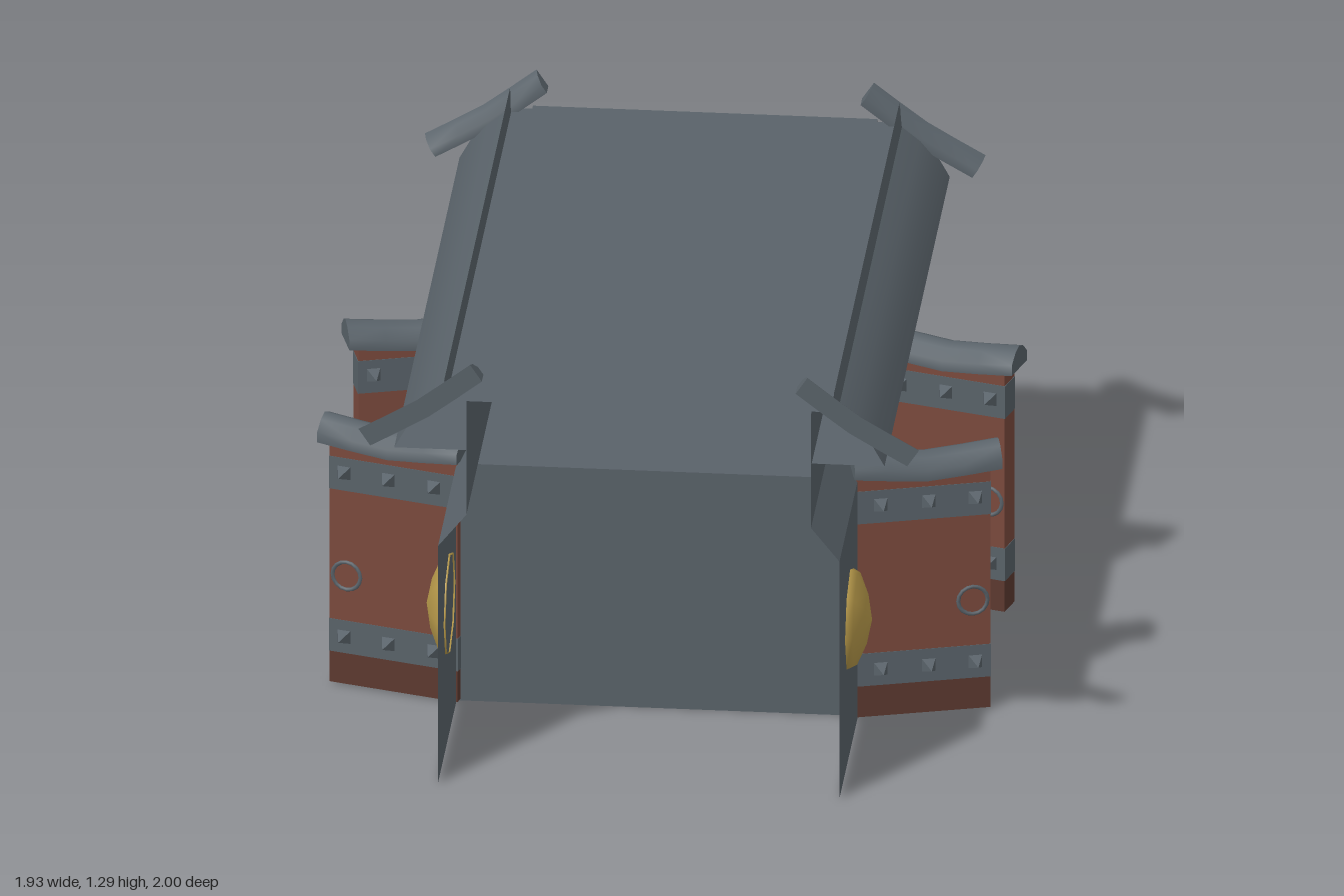
import * as THREE from 'three';
import { toCreasedNormals } from 'three/addons/utils/BufferGeometryUtils.js';

const slate = new THREE.MeshStandardMaterial({ color: 0x596269, side: THREE.DoubleSide });
slate.name = 'slate';
const wood = new THREE.MeshStandardMaterial({ color: 0x7a4a3d });
wood.name = 'red wood';
const darkWood = new THREE.MeshStandardMaterial({ color: 0x5c392f });
darkWood.name = 'dark wood';
const gold = new THREE.MeshStandardMaterial({ color: 0xb89a4a, side: THREE.DoubleSide });
gold.name = 'gold';

function add(parent, name, geometry, material, x = 0, y = 0, z = 0) {
  const mesh = new THREE.Mesh(geometry, material);
  mesh.name = name;
  mesh.position.set(x, y, z);
  parent.add(mesh);
  return mesh;
}

// Thin sheet: a profile of [x, y] points swept from z0 to z1
function sheet(profile, z0, z1) {
  const n = profile.length;
  const g = new THREE.PlaneGeometry(1, 1, n - 1, 1);
  const p = g.attributes.position;
  for (let i = 0; i < p.count; i++) {
    const [x, y] = profile[i % n];
    p.setXYZ(i, x, y, i < n ? z0 : z1);
  }
  return toCreasedNormals(g, 0.5);
}

// Peaked ridge tile along x whose ends bend up; a half tile is cut flat along its peak
function ridgeTile(length, w, height, bend, half = false) {
  const outline = [[w, 0], [w, 0.45 * height], [w * 0.5, 0.84 * height], [0, height]];
  if (half) outline.push([0, 0]);
  else outline.push([-w * 0.5, 0.84 * height], [-w, 0.45 * height], [-w, 0]);
  const s = new THREE.Shape(outline.map(([x, y]) => new THREE.Vector2(x, y)));
  const g = new THREE.ExtrudeGeometry(s, { depth: length, steps: 4, bevelEnabled: false });
  g.translate(0, 0, -length / 2).rotateY(Math.PI / 2);
  const p = g.attributes.position;
  for (let i = 0; i < p.count; i++) {
    const t = Math.abs(p.getX(i)) / (length / 2);
    p.setY(i, p.getY(i) + bend * Math.pow(t, 1.2));
  }
  return toCreasedNormals(g, 0.9);
}

// Door leaf with bands, studs, ring handles and a capping tile
function makeDoor() {
  const door = new THREE.Group();
  door.name = 'door';
  const L = 0.385, T = 0.074;
  const slab = (name, y0, y1, mat, grow = 0) =>
    add(door, name, new THREE.BoxGeometry(L + grow, y1 - y0, T + grow), mat, 0, (y0 + y1) / 2, 0);
  slab('doorFoot', 0.005, 0.1, darkWood);
  slab('doorPanel', 0.2, 0.6, wood);
  slab('doorTop', 0.7, 0.745, wood);
  slab('lowerBand', 0.1, 0.2, slate, 0.003);
  slab('upperBand', 0.6, 0.7, slate, 0.003);
  for (const side of [-1, 1]) {
    for (const y of [0.15, 0.655]) {
      for (const x of [-0.121, 0.016, 0.149]) {
        const g = new THREE.ConeGeometry(0.028, 0.046, 4);
        g.rotateY(Math.PI / 4).rotateX(side * Math.PI / 2);
        add(door, 'stud', toCreasedNormals(g, 0.3), slate, x, y, side * (T / 2 + 0.023));
      }
    }
    add(door, 'ringHandle', new THREE.TorusGeometry(0.042, 0.007, 6, 16), slate, 0.142, 0.338, side * (T / 2 - 0.002));
  }
  add(door, 'doorCap', ridgeTile(0.42, 0.058, 0.07, 0.02), slate, 0.012, 0.725, 0);
  return door;
}

export function createModel() {
  const model = new THREE.Group();
  model.name = 'gatehouse';

  // Passage through the building, and the flat roof
  const passage = sheet([[-0.44, 0], [-0.44, 0.73], [0.44, 0.73], [0.44, 0]], -0.565, 0.565);
  add(model, 'passage', passage.rotateY(Math.PI / 2), slate);
  add(model, 'roof', sheet([[-0.485, 1.18], [0.485, 1.18]], -1, 1), slate);

  for (const sx of [1, -1]) {
    const half = new THREE.Group();
    half.name = sx > 0 ? 'leftSide' : 'rightSide';
    half.scale.x = sx;
    model.add(half);

    // Upper wall stepping inward over the opening
    add(half, 'upperWall', sheet([[0.565, 0.73], [0.485, 0.83], [0.485, 1.18]], -1, 1), slate);

    // Sloping eave with a raised lip above and a flat soffit below
    add(half, 'eave', sheet([[0.485, 1.18], [0.542, 1.18], [0.548, 1.24], [0.558, 1.18],
      [0.61, 1.138], [0.655, 1.083], [0.69, 1.02], [0.485, 1.02]], -0.98, 0.98), slate);

    for (const sz of [1, -1]) {
      const corner = new THREE.Group();
      corner.name = sz > 0 ? 'frontCorner' : 'backCorner';
      corner.scale.z = sz;
      half.add(corner);

      add(corner, 'lowerWall', sheet([[0.565, 0], [0.565, 0.73]], 0.44, 1), slate);

      // Domed eight-sided boss, its rim just showing through the wall
      const dome = new THREE.LatheGeometry(
        [[0.148, -0.003], [0.153, 0], [0.14, 0.022], [0.075, 0.049], [0, 0.064]]
          .map(([r, y]) => new THREE.Vector2(r, y)), 8);
      dome.rotateZ(-Math.PI / 2);
      add(corner, 'boss', dome, gold, 0.563, 0.408, sz > 0 ? 0.68 : 0.7);

      // Half tile closing the end of the eave
      const cap = add(corner, 'eaveEndTile', ridgeTile(0.378, 0.047, 0.06, 0.012, true), slate, 0.592, 1.127, 1);
      cap.rotation.z = -0.59;

      const door = makeDoor();
      door.position.set(0.735, 0, 0.374);
      door.rotation.y = 0.28;
      corner.add(door);
    }
  }
  return model;
}
